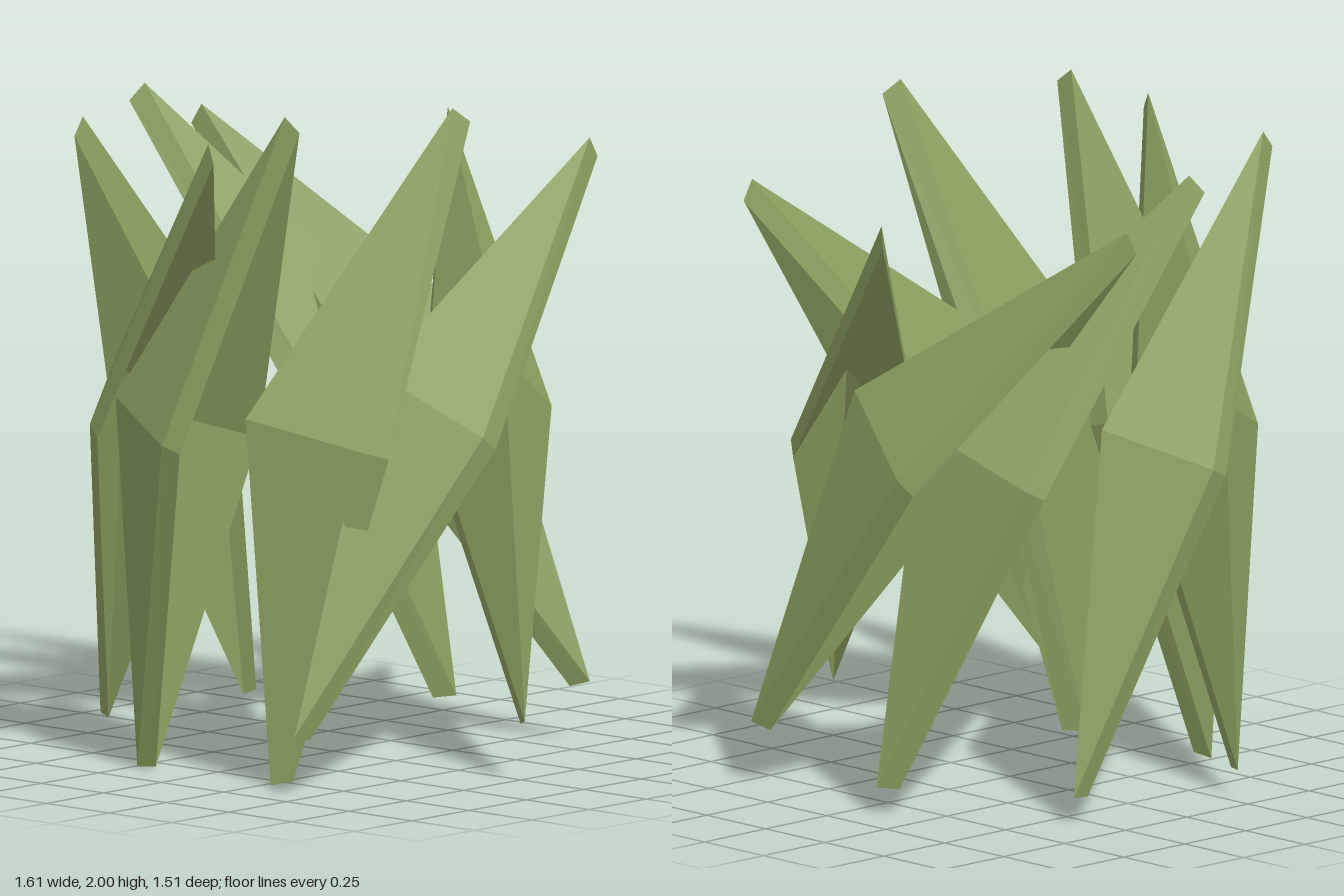
import * as THREE from 'three';

const leafGreen = new THREE.MeshStandardMaterial({ color: 0x8ea462, flatShading: true });
leafGreen.name = 'leafGreen';

// One folded blade: a diamond leaf creased along its mid, with an even thickness.
// base and tip are the centres of its two pointed ends.
function bladeGeometry(base, tip) {
  const bottom = new THREE.Vector3(...base);
  const top = new THREE.Vector3(...tip);
  const centre = bottom.clone().add(top).multiplyScalar(0.5);
  const along = top.clone().sub(bottom).normalize();
  const half = top.distanceTo(bottom) / 2;
  const side = new THREE.Vector3(along.z, 0, -along.x).normalize().negate();
  let ridge = side.clone().cross(along).normalize();
  if (ridge.y < 0) { // the crease always faces upward
    ridge.negate();
    side.negate();
  }
  const at = (w, u, t) => centre.clone()
    .addScaledVector(side, w).addScaledVector(along, u).addScaledVector(ridge, t);

  // Each corner as an [outer, inner] pair
  const T = [at(0, half + 0.013, 0.032), at(0, half - 0.013, -0.032)];
  const B = [at(0, -half - 0.013, 0.032), at(0, -half + 0.013, -0.032)];
  const L = [at(-0.19, 0, 0.07), at(-0.19, 0, 0)];
  const R = [at(0.19, 0, 0.07), at(0.19, 0, 0)];
  const C = [at(0, 0, 0.4), at(0, 0, 0.33)];

  const points = [];
  const tri = (a, b, c) => points.push(a, b, c);
  const quad = (a, b, c, d) => { tri(a, b, c); tri(a, c, d); };

  // Leaf faces, outer then inner
  for (const [a, b, c] of [[T, L, C], [T, C, R], [B, C, L], [B, R, C]]) {
    tri(a[0], b[0], c[0]);
    tri(a[1], c[1], b[1]);
  }
  // Rim strips
  for (const [a, b] of [[T, L], [L, B], [B, R], [R, T]]) quad(a[1], b[1], b[0], a[0]);

  const geometry = new THREE.BufferGeometry().setFromPoints(points);
  geometry.computeVertexNormals();
  return geometry;
}

// Base and tip of each blade around the ring
const blades = [
  [[0.49, 0.18, 0.67], [0.49, 1.79, -0.6]],
  [[0.29, 0.008, 0.54], [0.58, 1.98, 0.075]],
  [[-0.205, 0.008, 0.59], [0.335, 1.98, 0.545]],
  [[-0.625, 0.08, 0.315], [0.185, 1.9, 0.735]],
  [[-0.585, 0.08, -0.275], [-0.435, 1.9, 0.635]],
  [[-0.105, 0.08, -0.6], [-0.72, 1.9, 0.07]],
  [[0.435, 0.18, -0.6], [-0.79, 1.785, -0.265]],
  [[0.775, 0.18, 0.02], [-0.22, 1.785, -0.735]],
];

export function createModel() {
  const group = new THREE.Group();
  group.name = 'bladeRing';
  blades.forEach(([base, tip], i) => {
    const blade = new THREE.Mesh(bladeGeometry(base, tip), leafGreen);
    blade.name = `blade${i + 1}`;
    group.add(blade);
  });
  return group;
}
